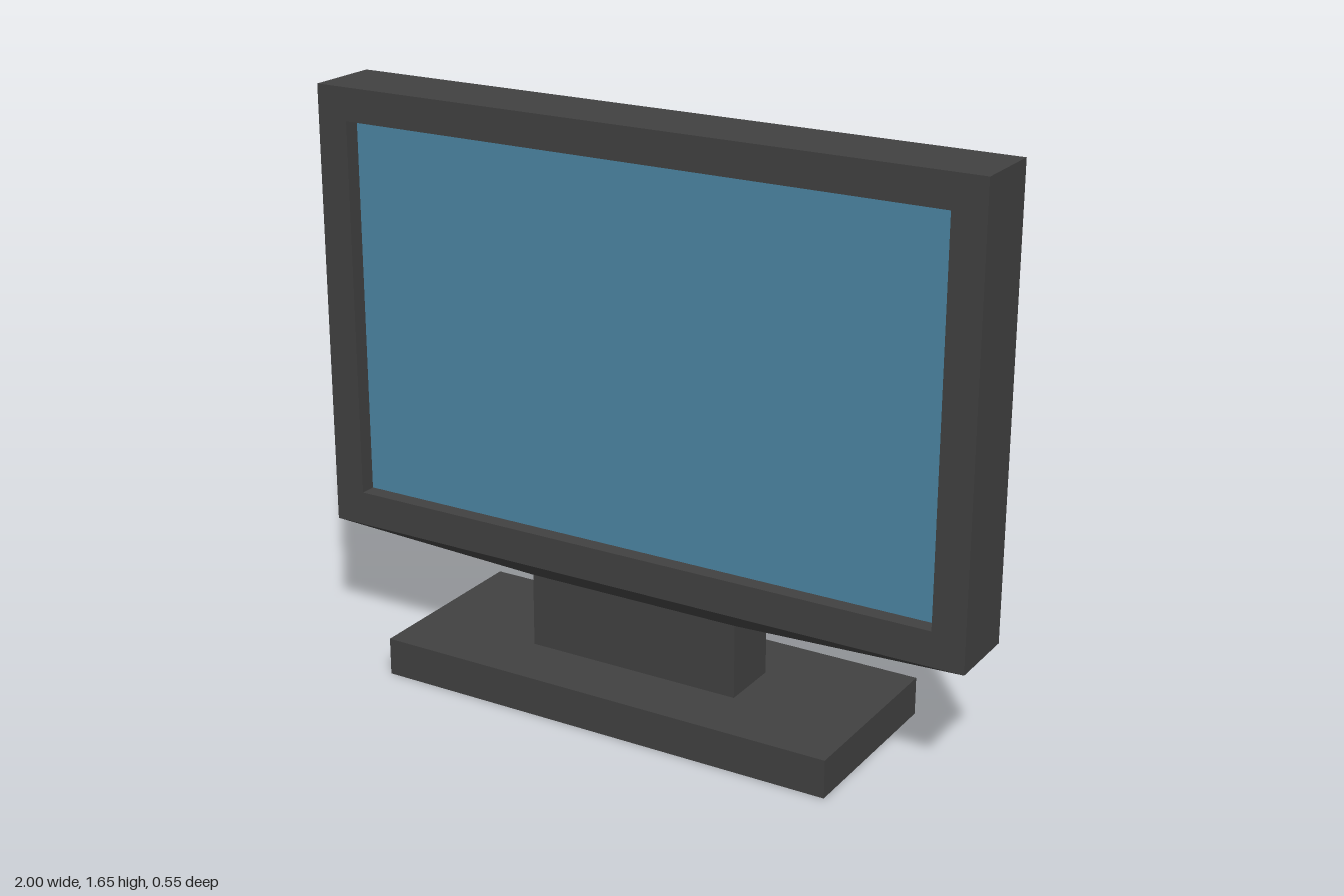
import * as THREE from 'three';

export function createModel() {
  const model = new THREE.Group();
  model.name = 'monitor';

  const casing = new THREE.MeshStandardMaterial({ color: 0x424242 });
  casing.name = 'charcoal casing';
  const glass = new THREE.MeshStandardMaterial({ color: 0x4d88a6 });
  glass.name = 'blue screen';

  const add = (name, geometry, material, x = 0, y = 0, z = 0) => {
    const mesh = new THREE.Mesh(geometry, material);
    mesh.name = name;
    mesh.position.set(x, y, z);
    model.add(mesh);
    return mesh;
  };
  // Box spanning y0..y1 and z0..z1, centred on x
  const addBox = (name, material, width, y0, y1, z0, z1) =>
    add(name, new THREE.BoxGeometry(width, y1 - y0, z1 - z0), material, 0, (y0 + y1) / 2, (z0 + z1) / 2);
  const trace = (path, x, y0, y1) =>
    path.moveTo(-x, y0).lineTo(x, y0).lineTo(x, y1).lineTo(-x, y1).closePath();

  const bottom = 0.36, top = 1.655, front = 0.11, recess = 0.06;

  // Stand
  addBox('base', casing, 1.395, 0, 0.11, -0.277, 0.277);
  addBox('neck', casing, 0.65, 0.11, 0.325, -0.09, 0.09);

  // Shallow taper from the housing down to the neck
  const taper = new THREE.BoxGeometry(2, bottom - 0.325, 2 * front);
  const p = taper.attributes.position;
  for (let i = 0; i < p.count; i++) {
    if (p.getY(i) < 0) {
      p.setX(i, Math.sign(p.getX(i)) * 0.325);
      p.setZ(i, Math.sign(p.getZ(i)) * 0.09);
    }
  }
  taper.computeVertexNormals();
  add('undersideTaper', taper, casing, 0, (bottom + 0.325) / 2, 0);

  // Housing, with a bezel around the recessed screen
  addBox('housing', casing, 2, bottom, top, -front, recess);
  const outline = new THREE.Shape();
  trace(outline, 1, bottom, top);
  const opening = new THREE.Path();
  trace(opening, 0.905, 0.46, 1.56);
  outline.holes.push(opening);
  add('bezel', new THREE.ExtrudeGeometry(outline, { depth: front - recess, bevelEnabled: false }), casing, 0, 0, recess);
  addBox('screen', glass, 1.81, 0.46, 1.56, recess - 0.003, recess + 0.003);

  return model;
}
